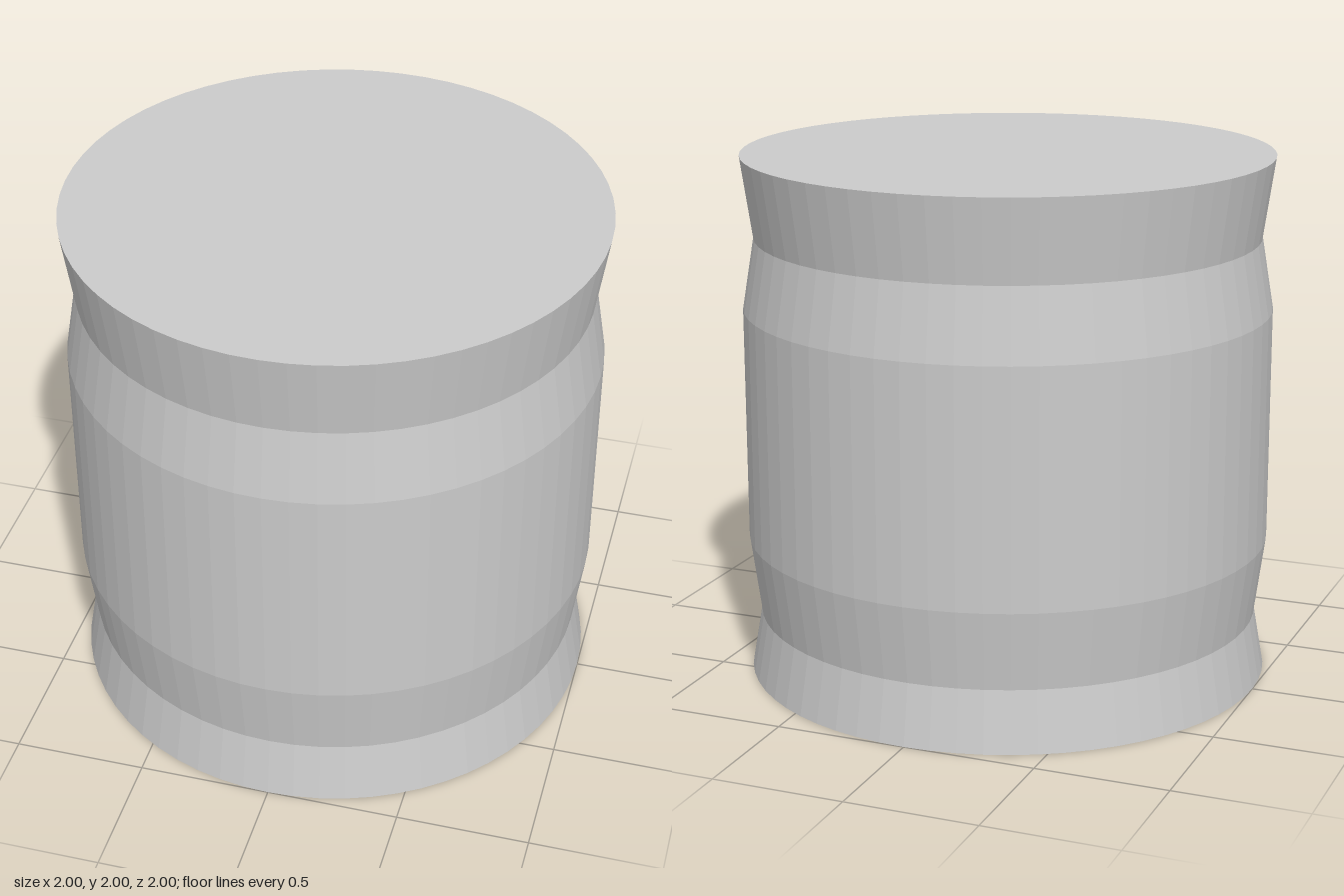
import * as THREE from 'three';

const SIDES = 64;

export function createModel() {
  const group = new THREE.Group();
  const material = new THREE.MeshStandardMaterial({ color: 0xcccccc, flatShading: true });

  function add(name, geometry) {
    const mesh = new THREE.Mesh(geometry, material);
    mesh.name = name;
    group.add(mesh);
    return mesh;
  }

  // Drum wall with two shallow V grooves, listed from the bottom up
  const profile = [
    [1, 0], [0.96, 0.23], [1, 0.53],
    [1, 1.42], [0.955, 1.69], [1, 2],
  ].map(([r, y]) => new THREE.Vector2(r, y));
  add('drumWall', new THREE.LatheGeometry(profile, SIDES));

  // Flat end discs
  const top = add('topDisc', new THREE.CircleGeometry(1, SIDES));
  top.rotation.x = -Math.PI / 2;
  top.position.y = 2;
  const bottom = add('bottomDisc', new THREE.CircleGeometry(1, SIDES));
  bottom.rotation.x = Math.PI / 2;

  return group;
}
